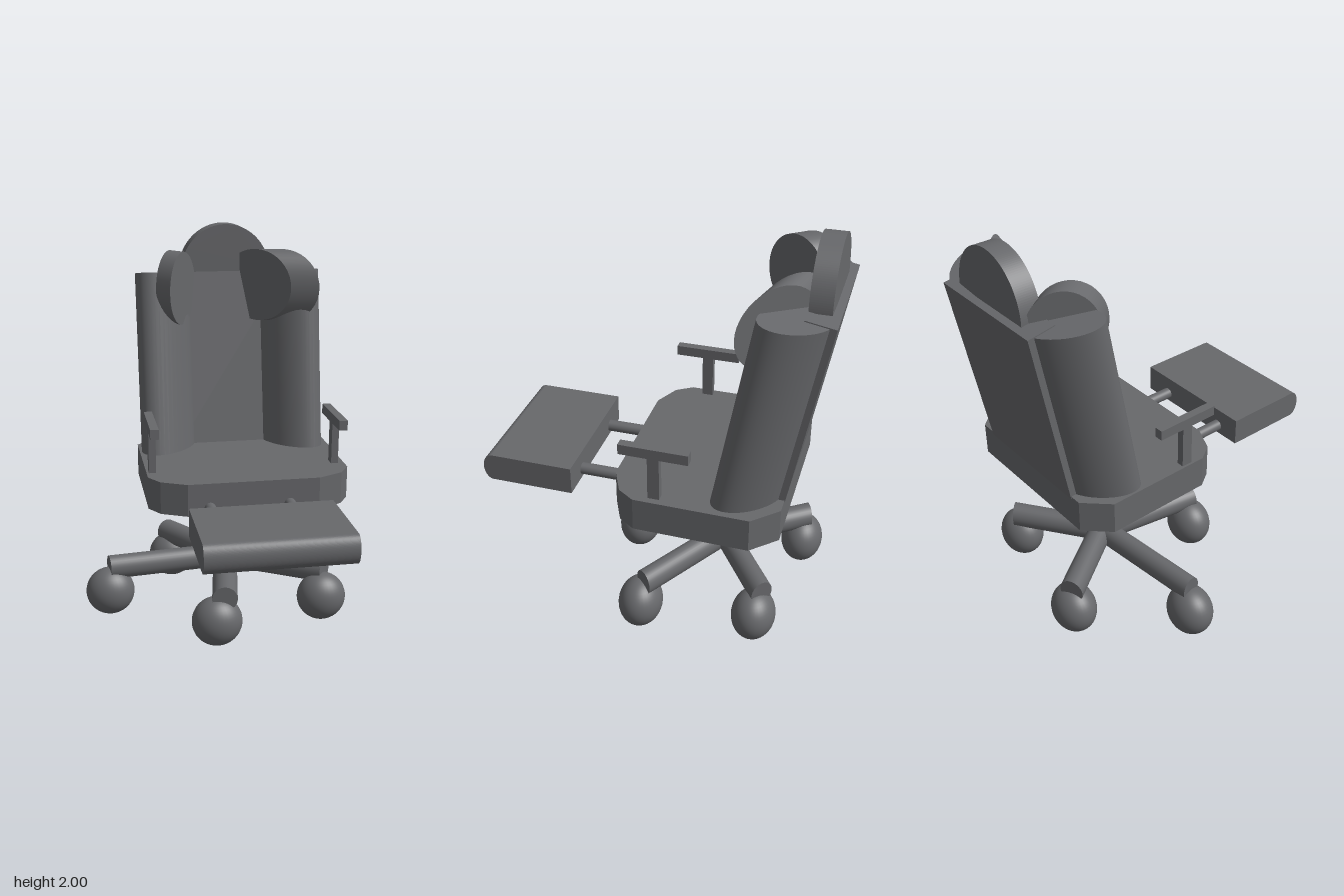
import * as THREE from 'three';

const material = new THREE.MeshStandardMaterial({ color: 0x67686b });

function add(parent, name, geometry, x = 0, y = 0, z = 0) {
  const mesh = new THREE.Mesh(geometry, material);
  mesh.name = name;
  mesh.position.set(x, y, z);
  parent.add(mesh);
  return mesh;
}

function addGroup(parent, name, x, y, z) {
  const group = new THREE.Group();
  group.name = name;
  group.position.set(x, y, z);
  parent.add(group);
  return group;
}

// Cylinder running between two points
function rod(parent, name, a, b, radius) {
  const dir = b.clone().sub(a);
  const mesh = add(parent, name, new THREE.CylinderGeometry(radius, radius, dir.length(), 32));
  mesh.position.copy(a).add(b).multiplyScalar(0.5);
  mesh.quaternion.setFromUnitVectors(new THREE.Vector3(0, 1, 0), dir.normalize());
}

// Five-legged base, slightly squashed front to back
function buildBase(parent) {
  const cx = 0.077, cz = -0.307, squash = 0.84;
  const base = addGroup(parent, 'base', cx, 0, cz);
  base.scale.z = squash;
  add(base, 'column', new THREE.CylinderGeometry(0.061, 0.061, 0.48, 32), 0, 0.45, 0);
  // wheel x, wheel z, leg end x, leg end z
  const legs = [
    [-0.553, -0.222, -0.555, -0.22],
    [-0.034, 0.197, 0.0, 0.235],
    [0.547, -0.013, 0.565, -0.035],
    [0.462, -0.565, 0.46, -0.6],
    [-0.185, -0.665, -0.21, -0.69],
  ];
  for (const [wx, wz, ex, ez] of legs) {
    rod(base, 'leg', new THREE.Vector3(0, 0.267, 0),
      new THREE.Vector3(ex - cx, 0.267, (ez - cz) / squash), 0.064);
    add(base, 'wheel', new THREE.SphereGeometry(0.128, 32, 24), wx - cx, 0.133, (wz - cz) / squash);
  }
}

// Seat slab with bevelled corners
function buildSeat(body) {
  const half = [[0.33, 0.39], [0.457, 0.33], [0.51, 0.25], [0.512, -0.29], [0.4, -0.408]];
  const outline = [...half, ...half.map(([x, z]) => [-x, z]).reverse()];
  const shape = new THREE.Shape(outline.map(([x, z]) => new THREE.Vector2(x, -z)));
  const geometry = new THREE.ExtrudeGeometry(shape, { depth: 0.165, bevelEnabled: false });
  geometry.rotateX(-Math.PI / 2);
  add(body, 'seat', geometry, 0.01, 0.677, 0);
}

// Reclined board with an oval bolster on each side
function buildBackrest(body) {
  const back = addGroup(body, 'backrest', 0, 0.84, 0);
  back.rotation.x = -0.18;
  add(back, 'backBoard', new THREE.BoxGeometry(0.665, 1.025, 0.138), 0, 0.4625, -0.335);
  for (const side of [-1, 1]) {
    const bolster = add(back, 'bolster', new THREE.CylinderGeometry(1, 1, 1.02, 40), side * 0.338, 0.46, -0.237);
    bolster.scale.set(0.11, 1, 0.185);
    bolster.rotation.y = side * Math.PI / 4;
  }
  // Upright half-disc rising out of the board
  const arch = new THREE.Shape();
  arch.moveTo(0.242, -0.04);
  arch.absellipse(0, 0, 0.242, 0.255, 0, Math.PI, false);
  arch.lineTo(-0.242, -0.04);
  add(body, 'headArch',
    new THREE.ExtrudeGeometry(arch, { depth: 0.1, bevelEnabled: false, curveSegments: 40 }), 0.006, 1.745, -0.537);
}

// Slanted disc set into a bolster: u is the half width, n the thickness
function wing(parent, x, z, u, n) {
  const geometry = new THREE.CylinderGeometry(1, 1, 1, 40);
  geometry.applyMatrix4(new THREE.Matrix4().makeBasis(
    new THREE.Vector3(u[0], 0, u[1]), new THREE.Vector3(n[0], 0, n[1]), new THREE.Vector3(0, 0.19, 0)));
  add(parent, 'headWing', geometry, x, 1.685, z);
}

function buildArmrests(body) {
  for (const side of [-1, 1]) {
    const arm = addGroup(body, side > 0 ? 'leftArmrest' : 'rightArmrest', side * 0.47, 0, 0.16);
    add(arm, 'armPad', new THREE.BoxGeometry(0.042, 0.05, 0.325), 0, 1.083, 0);
    add(arm, 'armPost', new THREE.BoxGeometry(0.036, 0.25, 0.055), 0, 0.945, 0);
  }
}

// Footrest with a rounded front edge on two rods
function buildFootrest(body) {
  const rest = addGroup(body, 'footrest', 0, 0.74, 0);
  const side = new THREE.Shape();
  side.moveTo(0.62, -0.07);
  side.lineTo(1.03, -0.07);
  side.absellipse(1.03, 0, 0.045, 0.07, -Math.PI / 2, Math.PI / 2, false);
  side.lineTo(0.62, 0.07);
  const geometry = new THREE.ExtrudeGeometry(side, { depth: 0.69, bevelEnabled: false, curveSegments: 20 });
  geometry.rotateY(-Math.PI / 2);
  add(rest, 'footPad', geometry, 0.343, 0, 0);
  for (const x of [-0.21, 0.19]) {
    rod(rest, 'footRod', new THREE.Vector3(x, -0.025, 0.3), new THREE.Vector3(x, -0.025, 0.66), 0.029);
  }
}

export function createModel() {
  const model = new THREE.Group();
  model.name = 'officeChair';
  buildBase(model);
  // Upper part swivelled a little
  const body = addGroup(model, 'upperChair', 0.138, 0, -0.26);
  body.rotation.y = 0.032;
  buildSeat(body);
  buildBackrest(body);
  buildArmrests(body);
  buildFootrest(body);
  wing(model, -0.148, -0.592, [-0.08, 0.146], [0.066, 0.08]);
  wing(model, 0.362, -0.612, [0.16, 0.143], [0.145, 0.03]);
  return model;
}
